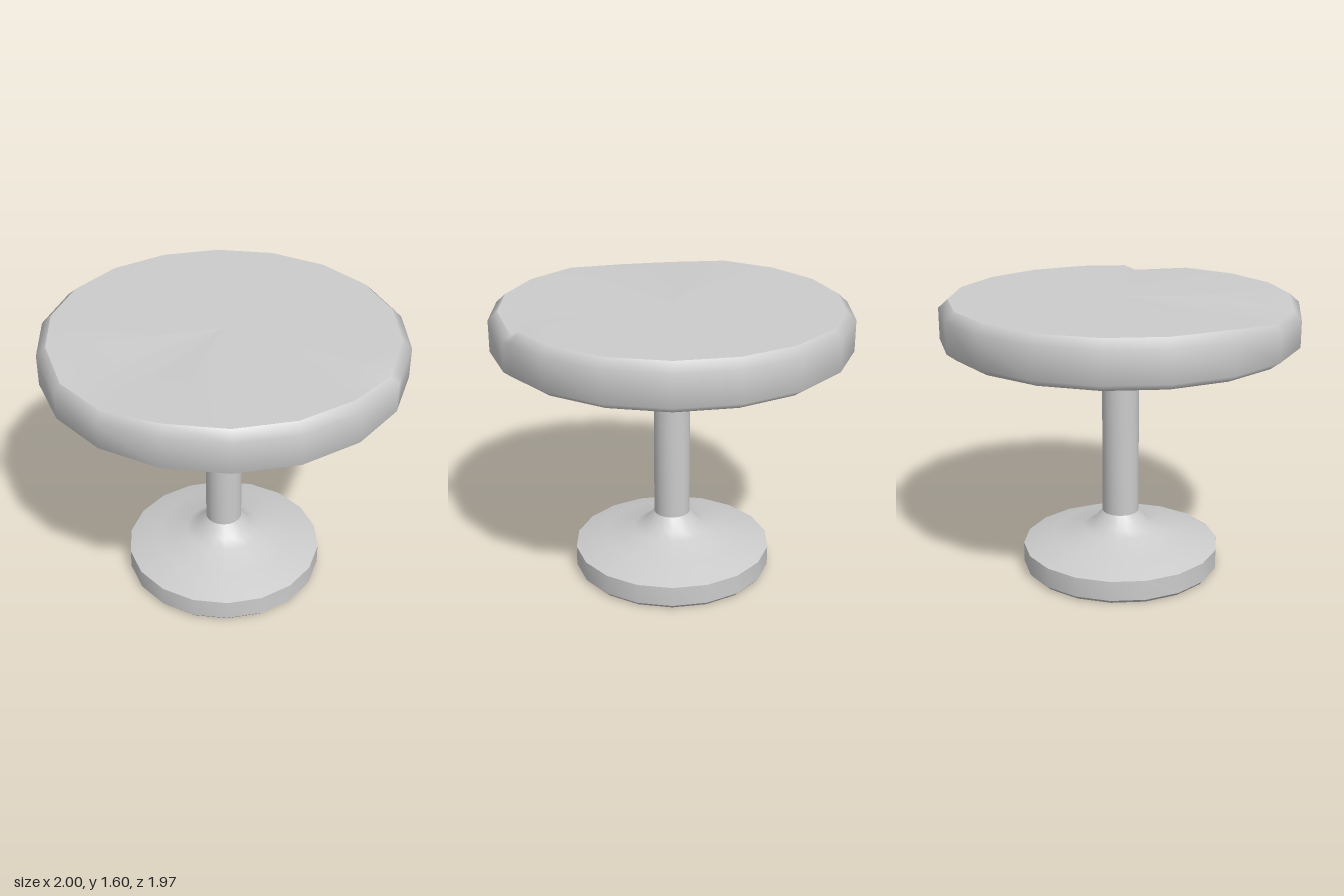
import * as THREE from 'three';
import { toCreasedNormals } from 'three/addons/utils/BufferGeometryUtils.js';

const SIDES = 18;
const material = new THREE.MeshStandardMaterial({ color: 0xcccccc, side: THREE.DoubleSide });
const rad = THREE.MathUtils.degToRad;

// Directions around the seat in degrees, with one extra point beside the chipped corner
const angles = Array.from({ length: SIDES }, (_, i) => i * 20);
angles.splice(17, 0, 336);

// Distance to an 18-sided outline of unit radius
const outline = (deg) => Math.cos(rad(10)) / Math.cos(rad((deg % 20) - 10));

// How far the rim sinks: a soft dip at the front and a small chip at the side
const frontDip = (deg) => (deg === 80 || deg === 100 ? 1 : 0);
const chip = (deg) => (deg === 340 ? 1 : 0);

// Closed skin through rings of { r, y, dip, chip, grow }, listed from the bottom up
function loft(rings) {
  const positions = [];
  const index = [];
  const n = angles.length;
  rings.forEach(({ r, y, dip = 0, nick = 0, grow = 0 }) => {
    for (const deg of angles) {
      const radius = (r + grow * frontDip(deg)) * outline(deg);
      const height = y - dip * frontDip(deg) - nick * chip(deg);
      positions.push(radius * Math.cos(rad(deg)), height, radius * Math.sin(rad(deg)));
    }
  });
  for (let j = 0; j < rings.length - 1; j++) {
    for (let i = 0; i < n; i++) {
      const a = j * n + i;
      const b = j * n + ((i + 1) % n);
      index.push(a, a + n, b + n, a, b + n, b);
    }
  }
  const geometry = new THREE.BufferGeometry();
  geometry.setAttribute('position', new THREE.Float32BufferAttribute(positions, 3));
  geometry.setIndex(index);
  geometry.computeVertexNormals();
  return geometry;
}

function lathe(points) {
  const profile = points.map(([r, y]) => new THREE.Vector2(r, y));
  const geometry = new THREE.LatheGeometry(profile, SIDES);
  geometry.rotateY(Math.PI / 2);
  return toCreasedNormals(geometry, rad(38));
}

function addPart(parent, name, geometry) {
  const mesh = new THREE.Mesh(geometry, material);
  mesh.name = name;
  parent.add(mesh);
}

export function createModel() {
  const model = new THREE.Group();
  model.name = 'stool';

  // Round padded seat: underside, bevelled wall and top, with hard edges between them
  const seat = new THREE.Group();
  seat.name = 'seat';
  model.add(seat);
  const lowerRim = { r: 0.945, y: 1.335 };
  const upperRim = { r: 0.948, y: 1.597, dip: 0.027, nick: 0.03, grow: 0.015 };
  addPart(seat, 'seatUnderside', loft([{ r: 0, y: 1.335 }, lowerRim]));
  addPart(seat, 'seatWall', loft([
    lowerRim,
    { r: 1, y: 1.375 },
    { r: 1, y: 1.55, dip: 0.03, nick: 0.01 },
    upperRim,
  ]));
  addPart(seat, 'seatTop', loft([
    upperRim,
    { r: 0.8, y: 1.597, dip: 0.02 },
    { r: 0, y: 1.597 },
  ]));

  // Heavy foot that sweeps up into the column
  addPart(model, 'base', lathe([
    [0, 0], [0.552, 0], [0.57, 0.02], [0.57, 0.135],
    [0.4, 0.187], [0.22, 0.23], [0.16, 0.262], [0.105, 0.33],
  ]));

  // Straight column
  addPart(model, 'column', lathe([[0.105, 0.33], [0.105, 1.18]]));

  // Flared collar under the seat
  addPart(model, 'collar', lathe([
    [0.105, 1.18], [0.122, 1.225], [0.18, 1.265], [0.18, 1.336],
  ]));

  return model;
}
